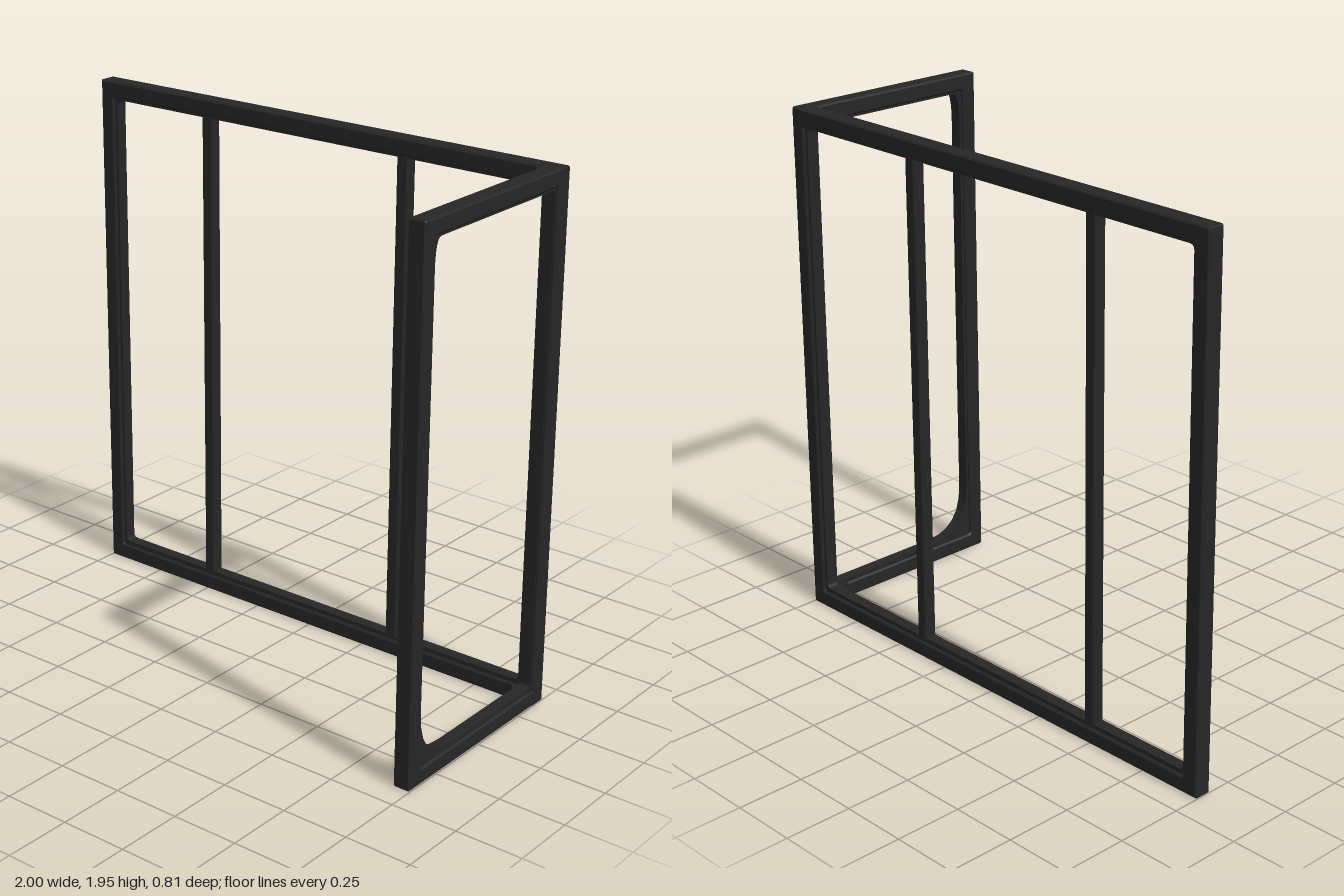
import * as THREE from 'three';

const H = 1.95;      // overall height
const D = 0.81;      // depth of the side panel
const BAR = 0.066;   // thickness of the square bars
const RIM = 0.06;    // face width of the outer bars
const LIP = 0.07;    // inner edge of the recessed lip

// Closed outline with its corners softened; each point is [x, y, radiusDown, radiusUp]
function trace(path, points) {
  const n = points.length;
  points.forEach(([x, y, rIn = 0, rOut = rIn], i) => {
    const p = new THREE.Vector2(x, y);
    const prev = new THREE.Vector2(...points[(i + n - 1) % n].slice(0, 2));
    const next = new THREE.Vector2(...points[(i + 1) % n].slice(0, 2));
    const a = prev.sub(p).setLength(rIn).add(p);
    const b = next.sub(p).setLength(rOut).add(p);
    if (i === 0) path.moveTo(a.x, a.y);
    else path.lineTo(a.x, a.y);
    if (rIn > 0) path.quadraticCurveTo(x, y, b.x, b.y);
  });
  path.closePath();
  return path;
}

function rectangle(x0, y0, x1, y1, radius) {
  return [[x0, y0, radius], [x1, y0, radius], [x1, y1, radius], [x0, y1, radius]];
}

// Extrusion centred on z = 0 with a small bevel inside the outline
function slab(points, hole, depth, bevel) {
  const shape = trace(new THREE.Shape(), points);
  if (hole) shape.holes.push(trace(new THREE.Path(), hole));
  const geometry = new THREE.ExtrudeGeometry(shape, {
    depth: depth - 2 * bevel, curveSegments: 6,
    bevelEnabled: bevel > 0, bevelSize: bevel, bevelThickness: bevel,
    bevelOffset: -bevel, bevelSegments: 1,
  });
  return geometry.translate(0, 0, -depth / 2 + bevel);
}

export function createModel() {
  const model = new THREE.Group();
  model.name = 'cornerFrame';
  const blackMetal = new THREE.MeshStandardMaterial({ color: 0x262626 });
  blackMetal.name = 'blackMetal';

  const add = (parent, name, geometry) => {
    const mesh = new THREE.Mesh(geometry, blackMetal);
    mesh.name = name;
    parent.add(mesh);
    return mesh;
  };

  // Wide back panel
  const back = new THREE.Group();
  back.name = 'backPanel';
  back.position.z = -D / 2 + BAR / 2;
  model.add(back);
  add(back, 'backBars', slab(
    rectangle(-1, 0, 1, H, 0.008),
    rectangle(-1 + RIM, RIM, 1 - RIM, H - RIM, 0.012), BAR, 0.006));
  add(back, 'backLip', slab(
    rectangle(-0.97, 0.03, 0.97, H - 0.03, 0),
    rectangle(-1 + LIP, LIP + 0.006, 1 - LIP, H - LIP, 0.02), 0.044, 0));

  // Two slim uprights dividing the back panel
  [-0.492, 0.375].forEach((x, i) => {
    const upright = add(back, i ? 'leftUpright' : 'rightUpright', slab(
      rectangle(-0.024, 0.04, 0.024, H - 0.04, 0), null, 0.048, 0.006));
    upright.position.x = x;
  });

  // Narrow side panel, turned so that its outline's +x points to the back
  const side = new THREE.Group();
  side.name = 'sidePanel';
  side.position.x = 1 - BAR / 2;
  side.rotation.y = Math.PI / 2;
  model.add(side);
  const front = -D / 2, rear = D / 2, join = rear - 0.03;
  add(side, 'sideBars', slab([
    [front, 0, 0.008], [join, 0], [join, RIM], [front + RIM, RIM, 0.012],
    [front + RIM, H - RIM, 0.012], [join, H - RIM], [join, H], [front, H, 0.008],
  ], null, BAR, 0.006));

  // Side lip, with a broad curved gusset at the lower front and a slim one above
  add(side, 'sideLip', slab(
    rectangle(front + 0.03, 0.03, rear - 0.03, H - 0.03, 0),
    [
      [front + LIP, LIP + 0.004, 0.19, 0.17], [rear - LIP, LIP + 0.004, 0.015],
      [rear - LIP, H - LIP, 0.015], [front + LIP, H - LIP, 0.03, 0.11],
    ], 0.044, 0));

  // Small rounded fillets where the panels meet, at the top and bottom rails
  const fx = 1 - BAR, fz = -D / 2 + BAR, r = 0.05;
  const filletShape = new THREE.Shape();
  filletShape.moveTo(fx + 0.01, -fz + 0.01);
  filletShape.lineTo(fx - r, -fz + 0.01);
  filletShape.lineTo(fx - r, -fz);
  filletShape.quadraticCurveTo(fx, -fz, fx, -fz - r);
  filletShape.lineTo(fx + 0.01, -fz - r);
  filletShape.closePath();
  [['bottomFillet', 0.006], ['topFillet', H - RIM]].forEach(([name, y]) => {
    const fillet = add(model, name, new THREE.ExtrudeGeometry(filletShape, {
      depth: RIM - 0.006, curveSegments: 6, bevelEnabled: false,
    }));
    fillet.rotation.x = -Math.PI / 2;
    fillet.position.y = y;
  });

  return model;
}
